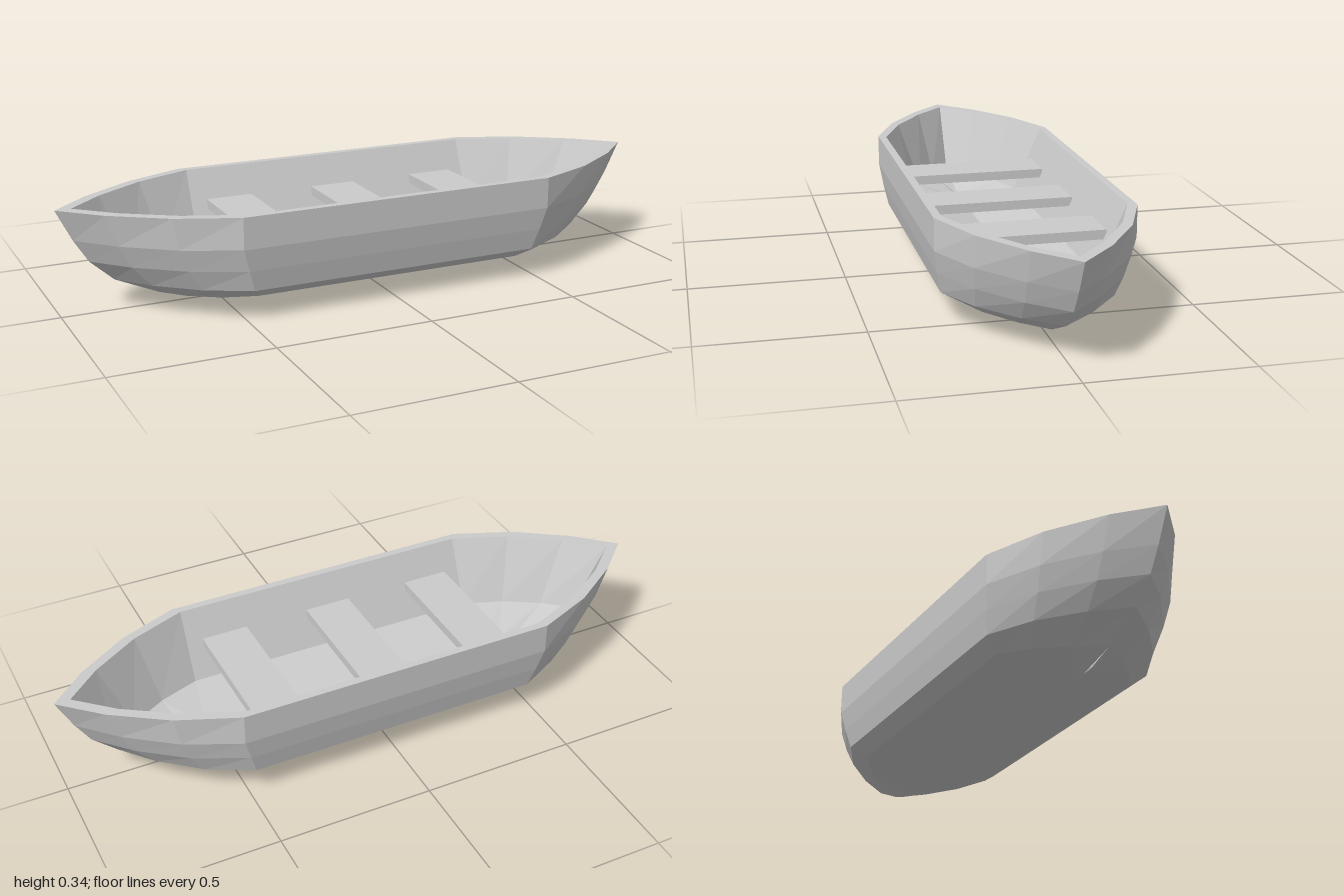
import * as THREE from 'three';

const material = new THREE.MeshStandardMaterial({ color: 0xcccccc, flatShading: true });

// Mirror a quarter outline (corner -> bow tip, [x, y, z]) into a closed ring
function ring(quarter) {
  const back = quarter.slice(0, -1);
  const tip = quarter[quarter.length - 1];
  const flip = (sx, sz) => ([x, y, z]) => [x * sx, y, z * sz];
  return [
    tip, ...[...back].reverse(),
    ...back.map(flip(-1, 1)), flip(-1, 1)(tip),
    ...[...back].reverse().map(flip(-1, -1)),
    ...back.map(flip(1, -1)),
  ];
}

// Pointed plan outline at one level; the height runs from ySide to yTip
function outline(corner, tip, width, ySide, yTip = ySide) {
  return ring([[0, 1], [0.4, 0.74], [0.75, 0.37], [1, 0]].map(([t, w]) =>
    [corner + (tip - corner) * t, ySide + (yTip - ySide) * t, width * w]));
}

// Skin consecutive rings, skipping collapsed triangles
function loft(rings) {
  const positions = [];
  const tri = (...corners) => {
    const [a, b, c] = corners.map((p) => new THREE.Vector3(...p));
    if (b.sub(a).cross(c.sub(a)).length() > 1e-7) positions.push(...corners.flat());
  };
  for (let r = 0; r < rings.length - 1; r++) {
    const low = rings[r], high = rings[r + 1], n = low.length;
    for (let i = 0; i < n; i++) {
      const j = (i + 1) % n;
      tri(low[i], high[i], low[j]);
      tri(high[i], high[j], low[j]);
    }
  }
  const geometry = new THREE.BufferGeometry();
  geometry.setAttribute('position', new THREE.Float32BufferAttribute(positions, 3));
  geometry.computeVertexNormals();
  return geometry;
}

export function createModel() {
  const boat = new THREE.Group();
  boat.name = 'rowingBoat';

  // Hull: outside from keel to gunwale, over the rim, then down to the floor
  const hull = new THREE.Mesh(loft([
    outline(0.42, 0.6, 0, 0.003, 0.011),
    outline(0.45, 0.69, 0.23, 0.064, 0.038),
    outline(0.48, 0.83, 0.28, 0.1),
    outline(0.5, 0.905, 0.294, 0.168),
    outline(0.52, 0.95, 0.305, 0.24),
    outline(0.52, 1, 0.305, 0.34),
    outline(0.5, 0.95, 0.28, 0.34),
    outline(0.5, 0.83, 0.185, 0.125),
    outline(0.45, 0.66, 0, 0.08),
  ]), material);
  hull.name = 'hull';
  boat.add(hull);

  // Three bench seats across the hull
  for (const x of [-0.37, 0, 0.37]) {
    const seat = new THREE.Mesh(new THREE.BoxGeometry(0.155, 0.03, 0.468), material);
    seat.name = 'seat';
    seat.position.set(x, 0.231, 0);
    boat.add(seat);
  }
  return boat;
}
